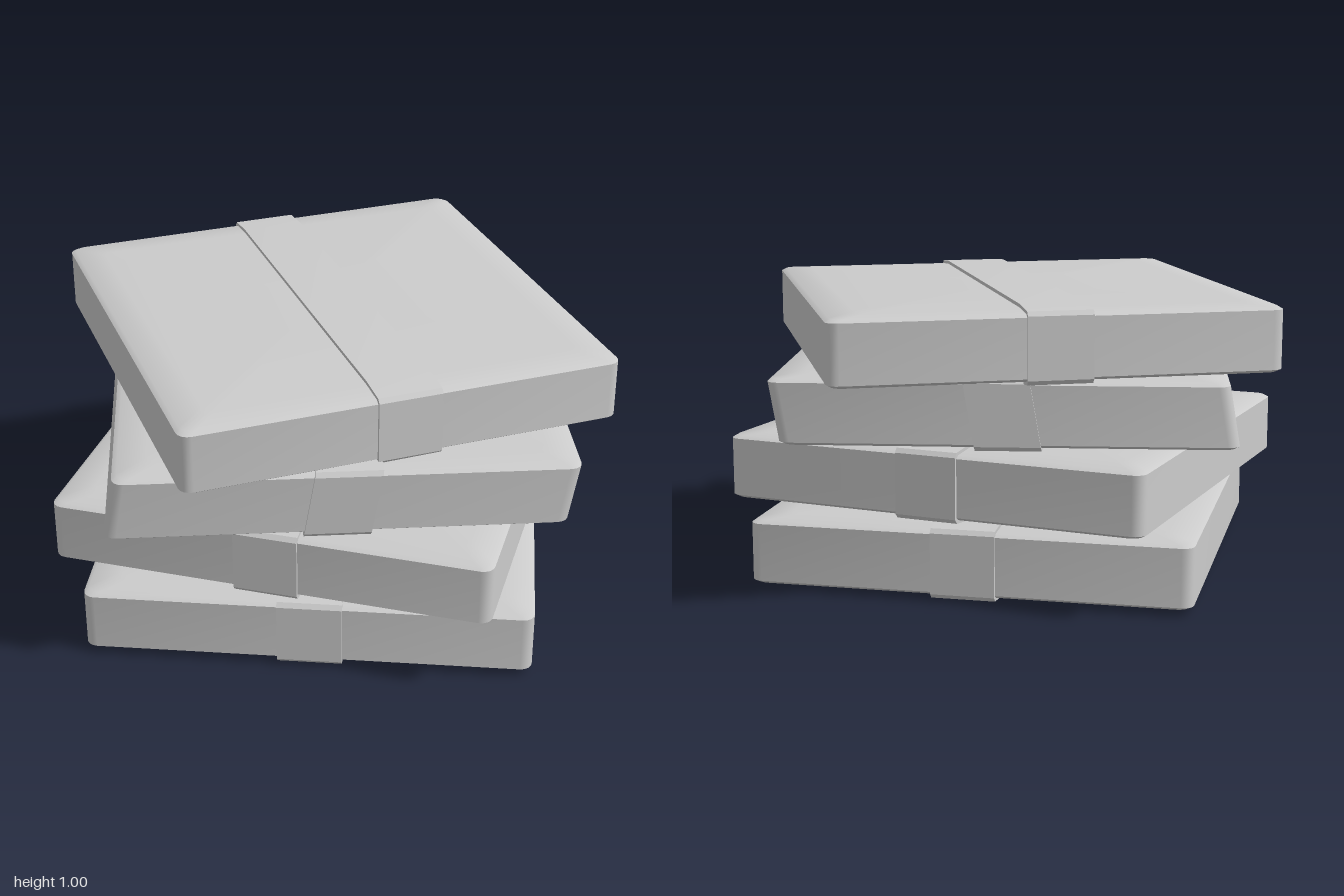
import * as THREE from 'three';
import { toCreasedNormals } from 'three/addons/utils/BufferGeometryUtils.js';

const HALF = 0.76, CORNER = 0.04, STEPS = 4;
const deg = THREE.MathUtils.degToRad;

// Rounded square outline at height y, pulled in by inset
function ring(y, inset) {
  const pts = [], c = HALF - inset - CORNER;
  for (let q = 0; q < 4; q++) {
    const mid = (q + 0.5) * Math.PI / 2;
    const cx = Math.sign(Math.cos(mid)) * c, cz = Math.sign(Math.sin(mid)) * c;
    for (let i = 0; i <= STEPS; i++) {
      const a = (q + i / STEPS) * Math.PI / 2;
      pts.push([cx + Math.cos(a) * CORNER, y, cz + Math.sin(a) * CORNER]);
    }
  }
  return pts;
}

// Square slab with rounded corners and softly pillowed top and bottom
function slabGeometry() {
  const half = [[0.1, 0], [0.11, 0.015], [0.118, 0.11]];
  const sections = [...half].reverse().map(([y, s]) => ring(-y, s))
    .concat(half.map(([y, s]) => ring(y, s)));
  const n = sections[0].length, verts = sections.flat(2), index = [];
  for (let i = 0; i < sections.length - 1; i++) {
    for (let j = 0; j < n; j++) {
      const a = i * n + j, b = i * n + (j + 1) % n;
      index.push(a, a + n, b, b, a + n, b + n);
    }
  }
  // Flat caps
  const bottom = verts.length / 3, top = bottom + 1, last = (sections.length - 1) * n;
  verts.push(0, -0.118, 0, 0, 0.118, 0);
  for (let j = 0; j < n; j++) {
    const k = (j + 1) % n;
    index.push(bottom, j, k, top, last + k, last + j);
  }
  const g = new THREE.BufferGeometry();
  g.setAttribute('position', new THREE.Float32BufferAttribute(verts, 3));
  g.setIndex(index);
  return g;
}

// Paper strip wrapped front to back around the slab
function bandGeometry() {
  const corner = [[0.77, 0.105], [0.757, 0.12], [0.65, 0.13]];
  const upper = [...corner, ...corner.map(([z, y]) => [-z, y]).reverse()];
  const outline = [...upper, ...upper.map(([z, y]) => [z, -y]).reverse()];
  const shape = new THREE.Shape(outline.map(([z, y]) => new THREE.Vector2(z, y)));
  const g = new THREE.ExtrudeGeometry(shape, { depth: 0.22, bevelEnabled: false });
  return g.translate(0, 0, -0.11).rotateY(Math.PI / 2);
}

export function createModel() {
  const model = new THREE.Group();
  model.name = 'stackOfBundles';
  const material = new THREE.MeshStandardMaterial({ color: 0xcccccc });

  // Bundles from bottom to top; lean slides the top of a bundle sideways
  const bundles = [
    { y: 0.135, z: 0.058, turn: 0, lean: 0, band: 0.01 },
    { y: 0.397, z: 0.057, turn: -10.3, lean: 0, band: 0 },
    { y: 0.647, z: 0.057, turn: 9.3, lean: 0.17, band: 0 },
    { y: 0.877, z: 0, turn: 25, lean: 0, band: 0.005 },
  ];

  bundles.forEach(({ y, z, turn, lean, band }, i) => {
    const bundle = new THREE.Group();
    bundle.name = `bundle${i + 1}`;
    const shear = new THREE.Matrix4().makeShear(0, 0, lean, 0, 0, 0);
    const add = (name, geometry) => {
      const mesh = new THREE.Mesh(toCreasedNormals(geometry.applyMatrix4(shear), 0.6), material);
      mesh.name = name;
      bundle.add(mesh);
      return mesh;
    };
    add('slab', slabGeometry());
    add('band', bandGeometry()).position.x = band;
    bundle.position.set(0, y, z);
    bundle.rotation.y = deg(turn);
    model.add(bundle);
  });
  // Lean must run along x: the top moves toward +x
  return model;
}
